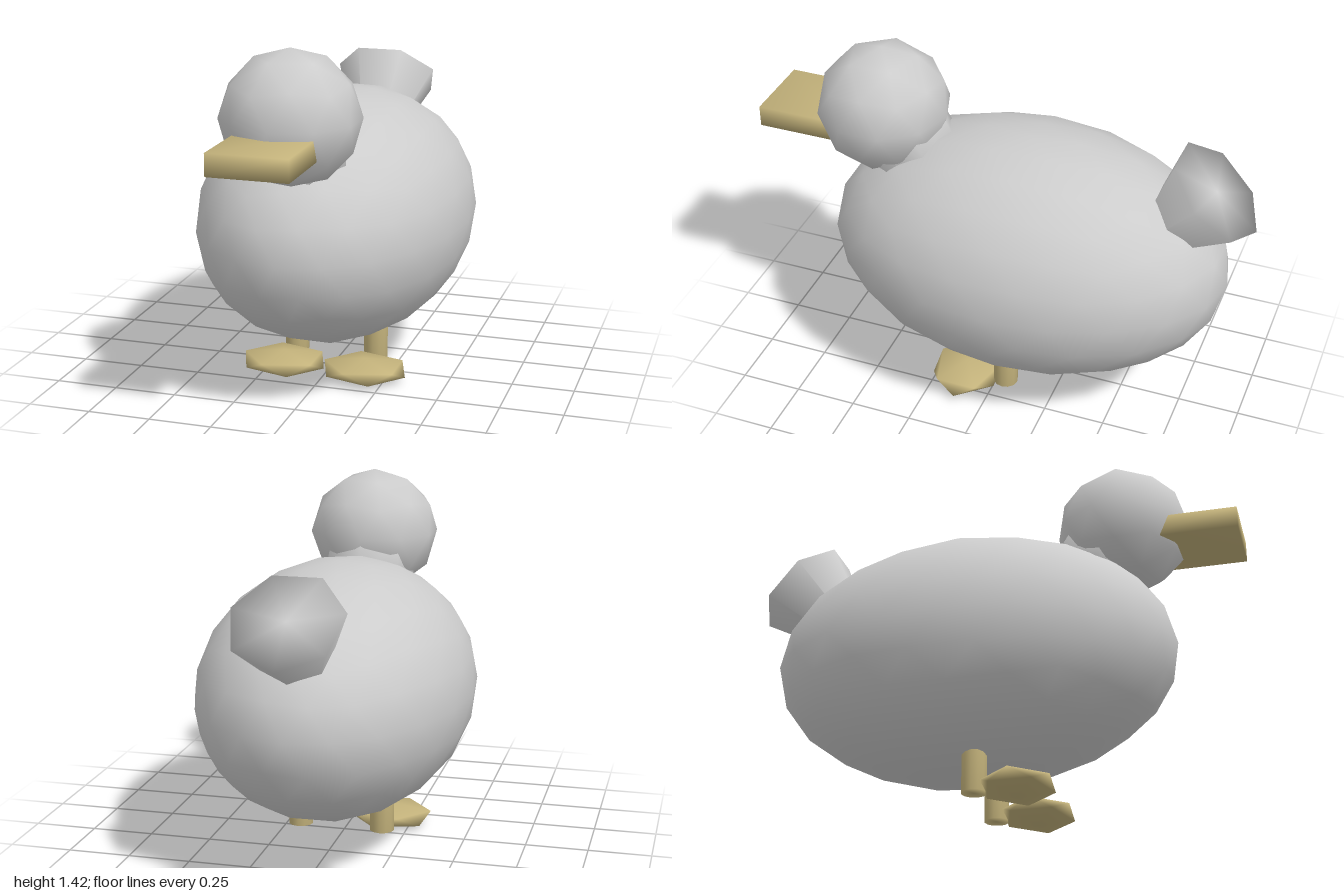
import * as THREE from 'three';
import { mergeVertices } from 'three/addons/utils/BufferGeometryUtils.js';

const plumage = new THREE.MeshStandardMaterial({ color: 0xcccccc });
plumage.name = 'plumage grey';
const horn = new THREE.MeshStandardMaterial({ color: 0xc3b27b });
horn.name = 'beak and feet tan';

// Low-poly ball with a vertex at the top and smooth normals, stretched to an ellipsoid
function ball(detail, rx, ry, rz) {
  const g = new THREE.IcosahedronGeometry(1, detail);
  g.rotateZ(-Math.atan(2 / (1 + Math.sqrt(5))));
  g.rotateY(Math.PI);
  g.setAttribute('normal', g.attributes.position.clone());
  return g.scale(rx, ry, rz);
}

// Share vertices so that shading runs smoothly over every edge
function smooth(g) {
  g.deleteAttribute('uv');
  g.deleteAttribute('normal');
  const merged = mergeVertices(g, 1e-4);
  merged.computeVertexNormals();
  return merged;
}

// Cylinder or cone from one (y, z) point to another in the middle plane
function tubeBetween(y0, z0, y1, z1, r0, r1, sides) {
  const dy = y1 - y0, dz = z1 - z0;
  const g = new THREE.CylinderGeometry(r1, r0, Math.hypot(dy, dz), sides);
  g.rotateY(Math.PI); // one corner at the back
  g.rotateX(Math.atan2(dz, dy));
  return smooth(g.translate(0, (y0 + y1) / 2, (z0 + z1) / 2));
}

export function createModel() {
  const model = new THREE.Group();
  model.name = 'duck';
  const add = (name, geometry, material, x = 0, y = 0, z = 0) => {
    const mesh = new THREE.Mesh(geometry, material);
    mesh.name = name;
    mesh.position.set(x, y, z);
    model.add(mesh);
  };

  // Body, neck and head
  add('body', ball(3, 0.54, 0.5, 0.815), plumage, 0, 0.645, -0.09);
  add('neck', tubeBetween(0.9, 0.36, 1.13, 0.47, 0.2, 0.18, 7), plumage);
  add('head', ball(1, 0.267, 0.26, 0.267), plumage, 0, 1.16, 0.525);

  // Flared tail, its point buried in the body
  add('tail', tubeBetween(0.68, -0.486, 1.07, -0.832, 0.01, 0.218, 7), plumage);

  // Flat square beak
  add('beak', smooth(new THREE.BoxGeometry(0.306, 0.085, 0.4)), horn, 0, 1.088, 0.8);

  // Legs and flat feet
  for (const [side, s] of [['left', 1], ['right', -1]]) {
    add(side + 'Leg', smooth(new THREE.CylinderGeometry(0.05, 0.05, 0.27, 12)), horn, s * 0.17, 0.17, -0.05);
    add(side + 'Foot', ball(0, 0.188, 0.045, 0.157), horn, s * 0.17, 0.048, 0.12);
  }
  return model;
}
